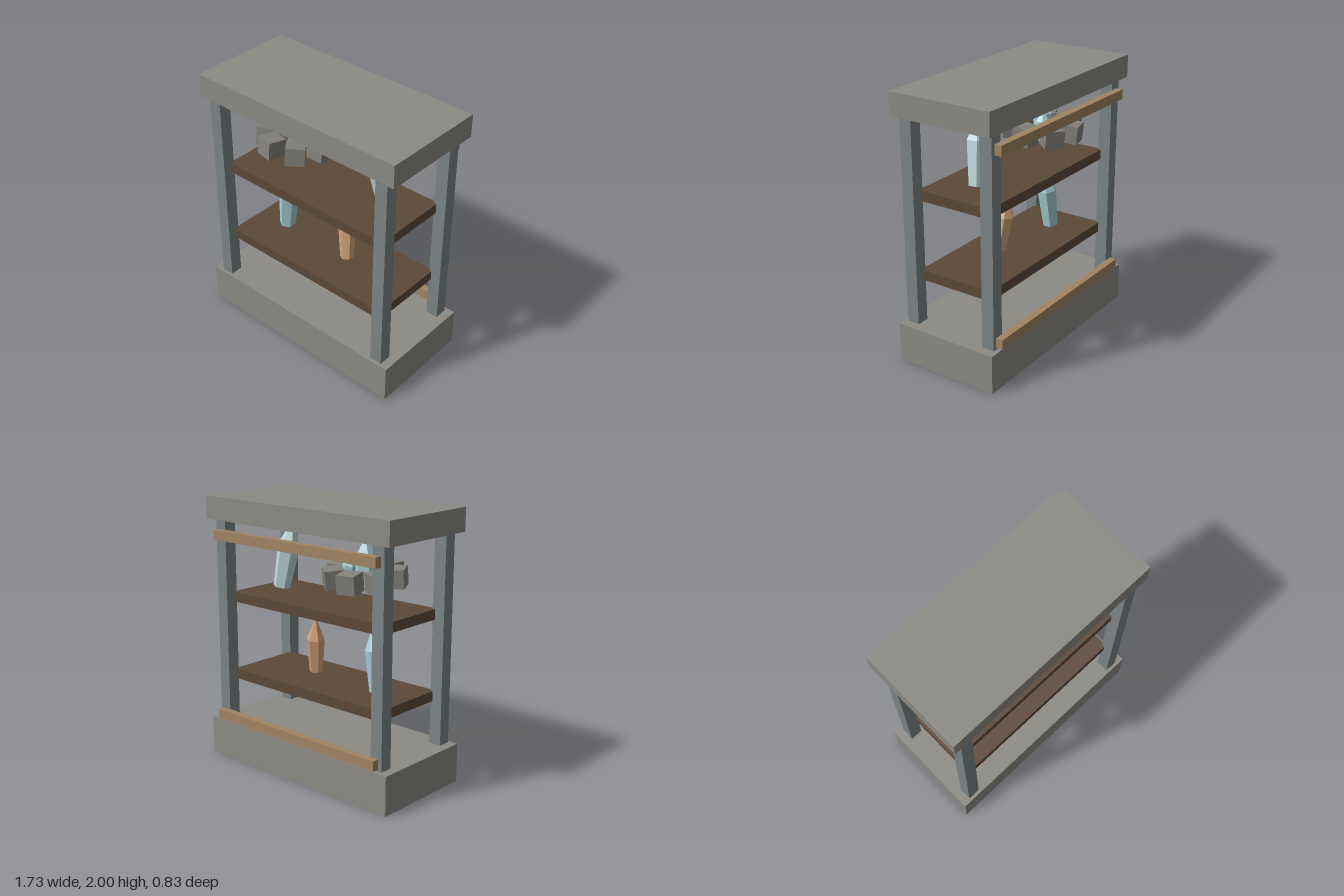
import * as THREE from 'three';

const mat = (color) => new THREE.MeshStandardMaterial({ color, flatShading: true });

export function createModel() {
  const model = new THREE.Group();
  model.name = 'crystalDisplayShelf';

  const stone = mat(0x8c8a84), metal = mat(0x7b8486), shelfWood = mat(0x5c4837);
  const railWood = mat(0xa08462), rock = mat(0x83817c);

  // Box given by its extents on each axis
  function box(name, material, [x0, x1], [y0, y1], [z0, z1]) {
    const mesh = new THREE.Mesh(new THREE.BoxGeometry(x1 - x0, y1 - y0, z1 - z0), material);
    mesh.position.set((x0 + x1) / 2, (y0 + y1) / 2, (z0 + z1) / 2);
    mesh.name = name;
    model.add(mesh);
  }

  // Six-sided crystal from the centre of its foot to its tip
  function crystal(name, color, foot, tip, footRadius, shoulderRadius, shoulder = 0.6) {
    const a = new THREE.Vector3(...foot), axis = new THREE.Vector3(...tip).sub(a);
    const h = axis.length();
    const profile = [[0, 0], [footRadius, 0], [shoulderRadius, h * shoulder], [0, h]]
      .map(([r, y]) => new THREE.Vector2(r, y));
    const mesh = new THREE.Mesh(new THREE.LatheGeometry(profile, 6), mat(color));
    mesh.position.copy(a);
    mesh.quaternion.setFromUnitVectors(new THREE.Vector3(0, 1, 0), axis.normalize());
    mesh.name = name;
    model.add(mesh);
  }

  // Slabs
  box('baseSlab', stone, [-0.865, 0.865], [0, 0.29], [-0.395, 0.415]);
  box('topSlab', stone, [-0.865, 0.865], [1.83, 2], [-0.395, 0.415]);

  // Corner posts
  for (const side of [-1, 1]) {
    const x = side * 0.75;
    for (const [name, z] of [['frontPost', 0.343], ['backPost', -0.313]]) {
      box(name, metal, [x - 0.048, x + 0.048], [0.29, 1.83], [z - 0.048, z + 0.048]);
    }
  }

  // Shelves and back rails
  for (const y of [0.61, 1.21]) box('shelf', shelfWood, [-0.72, 0.72], [y, y + 0.075], [-0.285, 0.32]);
  for (const y of [0.305, 1.687]) box('backRail', railWood, [-0.77, 0.77], [y, y + 0.073], [-0.415, -0.36]);

  // Single crystals
  crystal('largeCrystal', 0xbfd8dc, [0.482, 1.315, -0.008], [0.395, 1.83, 0.035], 0.065, 0.085);
  crystal('blueCrystal', 0xa8d0d8, [-0.46, 0.695, 0], [-0.394, 1.185, 0.025], 0.062, 0.077);
  crystal('amberCrystal', 0xd3a478, [0.17, 0.71, 0.033], [0.13, 1.14, -0.015], 0.051, 0.067);

  // Crystal pair inside a ring of stones
  crystal('clusterCrystal', 0xb8d9e0, [-0.33, 1.425, 0], [-0.33, 1.78, 0], 0.064, 0.08, 0.57);
  crystal('smallClusterCrystal', 0xa8d0d8, [-0.215, 1.45, -0.07], [-0.262, 1.675, -0.05], 0.045, 0.055);
  const count = 7;
  for (let i = 0; i < count; i++) {
    const angle = (i / count) * Math.PI * 2;
    const mesh = new THREE.Mesh(new THREE.BoxGeometry(0.14, 0.135, 0.14), rock);
    mesh.position.set(-0.33 + 0.22 * Math.cos(angle), 1.513 + 0.01 * Math.sin(angle), 0.22 * Math.sin(angle));
    mesh.rotation.set(-0.1, -angle, 0);
    mesh.name = 'ringStone';
    model.add(mesh);
  }

  return model;
}
